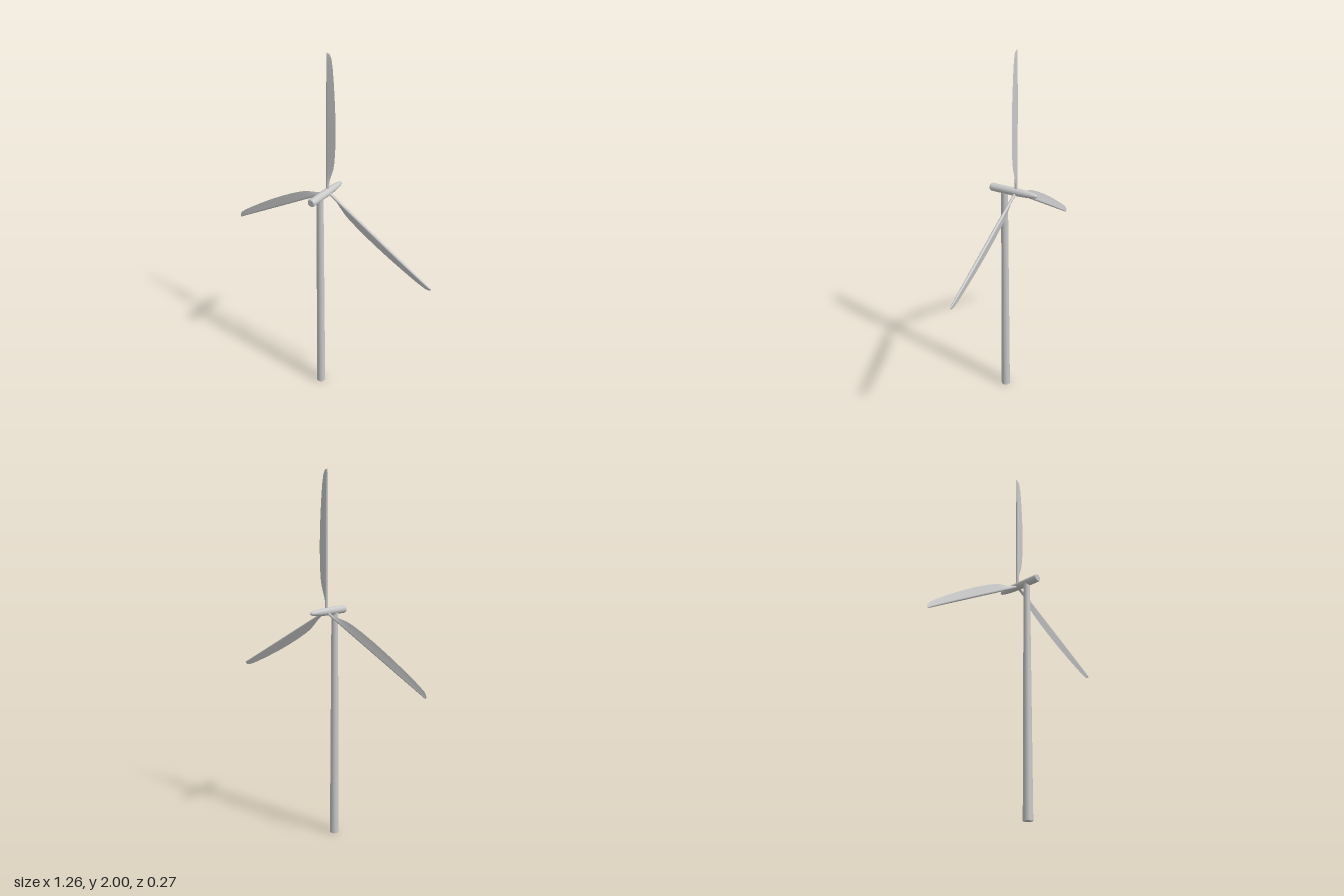
import * as THREE from 'three';

const HUB_Y = 1.276, BLADE_Z = -0.014;

// Blade pointing up +y: round spar on the left edge, thin web trailing to +x
function bladeGeometry() {
  // [span, spar radius, trailing edge x]
  const stations = [
    [0, 0.008, 0.008], [0.04, 0.008, 0.008], [0.07, 0.008, 0.012], [0.1, 0.008, 0.022],
    [0.14, 0.008, 0.034], [0.18, 0.008, 0.04], [0.25, 0.008, 0.044], [0.34, 0.008, 0.045],
    [0.43, 0.008, 0.043], [0.52, 0.0075, 0.038], [0.6, 0.0065, 0.032], [0.66, 0.0055, 0.026],
    [0.7, 0.0045, 0.019], [0.717, 0.0035, 0.011], [0.724, 0.001, 0.001],
  ];
  const arcSteps = 10;
  const positions = [], indices = [];
  let ring = 0;
  for (const [y, r, c] of stations) {
    const cx = -0.008 + r;
    const mid = cx + (c - cx) * 0.5;
    const section = [[c, -0.001], [mid, r * 0.45]];
    for (let i = 0; i <= arcSteps; i++) {
      const a = THREE.MathUtils.degToRad(70 + (220 * i) / arcSteps);
      section.push([cx + r * Math.cos(a), r * Math.sin(a)]);
    }
    section.push([mid, -r * 0.45], [c, -0.001]);
    for (const [x, z] of section) positions.push(x, y, z);
    ring = section.length;
  }
  for (let j = 0; j < stations.length - 1; j++) {
    for (let i = 0; i < ring - 1; i++) {
      const a = j * ring + i, b = a + ring;
      indices.push(a, b, a + 1, a + 1, b, b + 1);
    }
  }
  // close the tip
  const top = (stations.length - 1) * ring;
  for (let i = 1; i < ring - 2; i++) indices.push(top, top + i + 1, top + i);
  const g = new THREE.BufferGeometry();
  g.setAttribute('position', new THREE.Float32BufferAttribute(positions, 3));
  g.setIndex(indices);
  g.computeVertexNormals();
  return g;
}

export function createModel() {
  const model = new THREE.Group();
  model.name = 'windTurbine';
  const grey = new THREE.MeshStandardMaterial({ color: 0xc8c8c8 });
  grey.name = 'light grey';

  const add = (parent, name, geometry) => {
    const mesh = new THREE.Mesh(geometry, grey);
    mesh.name = name;
    parent.add(mesh);
    return mesh;
  };

  // Tapered tower standing under the flat end of the nacelle
  const tower = add(model, 'tower', new THREE.CylinderGeometry(0.018, 0.025, 1.265, 32));
  tower.position.set(0, 1.265 / 2, 0.055);

  // Nacelle: flat bevelled end at +z, rounded nose at -z
  const body = [[0, -0.139], [0.005, -0.137], [0.009, -0.131], [0.0125, -0.118],
    [0.0155, -0.098], [0.0185, -0.07], [0.0205, -0.035], [0.0213, 0], [0.0213, 0.13]];
  const nacelle = new THREE.Group();
  nacelle.name = 'nacelle';
  nacelle.position.y = HUB_Y;
  nacelle.rotation.x = Math.PI / 2;
  model.add(nacelle);
  const lathe = (pts) => new THREE.LatheGeometry(pts.map(([r, z]) => new THREE.Vector2(r, z)), 32);
  add(nacelle, 'nacelleBody', lathe(body));
  add(nacelle, 'nacelleBevel', lathe([[0.0213, 0.13], [0.018, 0.135]]));
  add(nacelle, 'nacelleEnd', lathe([[0.018, 0.135], [0, 0.135]]));

  // Three blades around the hub
  const rotor = new THREE.Group();
  rotor.name = 'rotor';
  rotor.position.set(0, HUB_Y, BLADE_Z);
  model.add(rotor);
  const geometry = bladeGeometry();
  for (let i = 0; i < 3; i++) {
    add(rotor, 'blade' + (i + 1), geometry).rotation.z = (i * Math.PI * 2) / 3;
  }
  return model;
}
